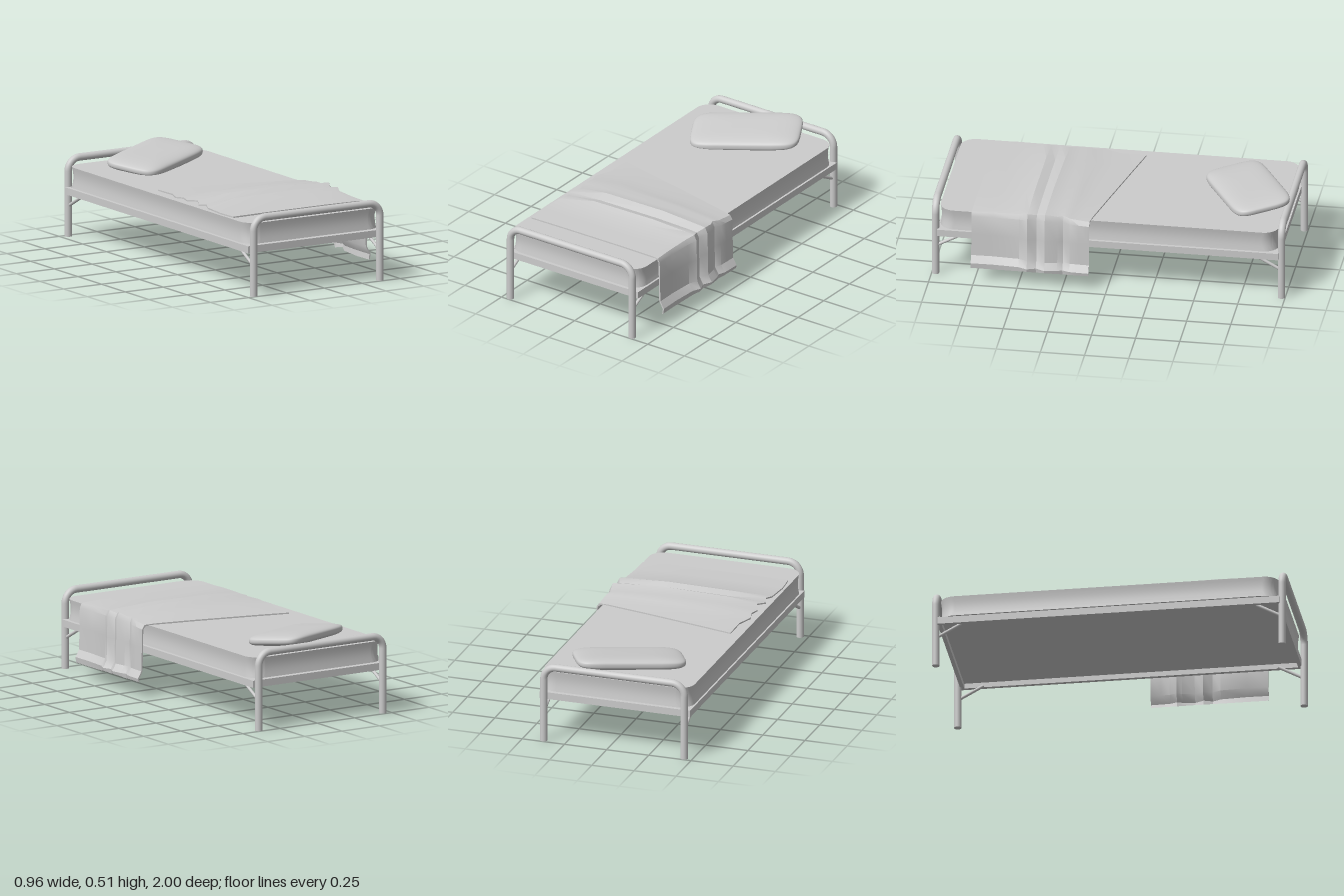
import * as THREE from 'three';
import { toCreasedNormals, mergeVertices } from 'three/addons/utils/BufferGeometryUtils.js';

const CX = -0.037; // middle of the bed; the blanket hangs out on the +x side
const mat = new THREE.MeshStandardMaterial({ color: 0xcccccc });
const matDouble = new THREE.MeshStandardMaterial({ color: 0xcccccc, side: THREE.DoubleSide });
const V = (x, y, z) => new THREE.Vector3(x, y, z);

function add(parent, name, geometry, material = mat) {
  const mesh = new THREE.Mesh(geometry, material);
  mesh.name = name;
  parent.add(mesh);
  return mesh;
}

// Bent tube hoop that forms two legs and the end rail
function endHoop(parent, name, z) {
  const group = new THREE.Group();
  group.name = name;
  const w = 0.416, top = 0.444, r = 0.072, tube = 0.021;
  const path = new THREE.CurvePath();
  const k = r * 0.45;
  path.add(new THREE.LineCurve3(V(-w, 0, 0), V(-w, top - r, 0)));
  path.add(new THREE.CubicBezierCurve3(V(-w, top - r, 0), V(-w, top - k, 0), V(-w + k, top, 0), V(-w + r, top, 0)));
  path.add(new THREE.LineCurve3(V(-w + r, top, 0), V(w - r, top, 0)));
  path.add(new THREE.CubicBezierCurve3(V(w - r, top, 0), V(w - k, top, 0), V(w, top - k, 0), V(w, top - r, 0)));
  path.add(new THREE.LineCurve3(V(w, top - r, 0), V(w, 0, 0)));
  add(group, 'hoop', new THREE.TubeGeometry(path, 120, tube, 20));
  for (const s of [-1, 1]) {
    const foot = add(group, 'footCap', new THREE.CircleGeometry(tube, 20).rotateX(Math.PI / 2));
    foot.position.x = s * w;
    // Diagonal strut from leg up to the side rail
    const dir = -Math.sign(z);
    const strut = new THREE.LineCurve3(V(s * w, 0.172, 0), V(s * w, 0.25, dir * 0.145));
    add(group, 'strut', new THREE.TubeGeometry(strut, 1, 0.009, 10));
  }
  group.position.set(CX, 0, z);
  parent.add(group);
}

// Rectangular frame of four rails around a thin base panel
function bedFrame(parent) {
  const group = new THREE.Group();
  group.name = 'bedFrame';
  const w = 0.446, l = 0.966, t = 0.022, h = 0.04;
  for (const s of [-1, 1]) {
    add(group, 'sideRail', new THREE.BoxGeometry(t, h, 2 * l)).position.x = s * (w - t / 2);
    add(group, 'crossRail', new THREE.BoxGeometry(2 * w - 2 * t, h, t)).position.z = s * (l - t / 2);
  }
  add(group, 'basePanel', new THREE.BoxGeometry(2 * w - 2 * t, 0.01, 2 * l - 2 * t)).position.y = 0.014;
  group.position.set(CX, 0.265, 0);
  parent.add(group);
}

// Mattress with rounded corners and slightly hollow sides
function mattress(parent) {
  const w = 0.442, l = 0.958, r = 0.085, h = 0.118;
  const shape = new THREE.Shape();
  shape.moveTo(-w + r, -l);
  shape.lineTo(w - r, -l).absarc(w - r, -l + r, r, -Math.PI / 2, 0);
  shape.lineTo(w, l - r).absarc(w - r, l - r, r, 0, Math.PI / 2);
  shape.lineTo(-w + r, l).absarc(-w + r, l - r, r, Math.PI / 2, Math.PI);
  shape.lineTo(-w, -l + r).absarc(-w + r, -l + r, r, Math.PI, Math.PI * 1.5);
  const geo = new THREE.ExtrudeGeometry(shape, { depth: h, steps: 8, bevelEnabled: false, curveSegments: 8 });
  geo.rotateX(-Math.PI / 2);
  const p = geo.attributes.position;
  for (let i = 0; i < p.count; i++) {
    const inset = 0.006 * Math.sin((Math.PI * p.getY(i)) / h);
    p.setX(i, p.getX(i) * (1 - inset / w));
    p.setZ(i, p.getZ(i) * (1 - inset / l));
  }
  add(parent, 'mattress', toCreasedNormals(geo, 0.7)).position.set(CX, 0.292, 0);
}

// Soft pillow, turned on the bed and leaning up on the head rail
function pillow(parent) {
  let geo = new THREE.SphereGeometry(1, 72, 32);
  geo.deleteAttribute('uv');
  geo.deleteAttribute('normal');
  geo = mergeVertices(geo, 1e-4);
  const pow = (v, e) => Math.sign(v) * Math.pow(Math.abs(v), e);
  const p = geo.attributes.position;
  for (let i = 0; i < p.count; i++) {
    const x = p.getX(i), y = p.getY(i), z = p.getZ(i);
    // Spread each ring into a rounded rectangle with a full, soft edge
    const ring = Math.hypot(x, z);
    const c = ring > 1e-4 ? x / ring : 0, s = ring > 1e-4 ? z / ring : 0;
    const grow = Math.pow(ring, 0.6);
    p.setXYZ(i, 0.31 * grow * pow(c, 0.28), 0.037 * pow(y, 0.65), 0.168 * grow * pow(s, 0.44));
  }
  geo.rotateY(0.49);
  geo.translate(-0.038, 0, -0.725);
  // Lean against the head rail and rest flat on the mattress
  for (let i = 0; i < p.count; i++) {
    p.setY(i, Math.max(0.411, p.getY(i) + 0.452 - (p.getZ(i) + 0.725) * 0.12));
  }
  geo.computeVertexNormals();
  add(parent, 'pillow', geo);
}

// Folded blanket: a thin closed section swept along the bed, draped over the side
function blanket(parent) {
  // z at left edge, z at hanging side, fold height, fold outward push, x of free edge
  const stations = [
    [-0.09, 0.1, 0.003, 0.028, -0.415],
    [0.06, 0.16, 0.01, 0.026, -0.415],
    [0.15, 0.21, 0.018, 0.024, -0.45],
    [0.21, 0.25, 0.03, 0.01, -0.435],
    [0.27, 0.28, 0.025, 0.022, -0.45],
    [0.34, 0.35, 0.043, 0.034, -0.42],
    [0.4, 0.4, 0.018, 0.01, -0.455],
    [0.45, 0.45, 0.034, 0.029, -0.435],
    [0.5, 0.5, 0.016, 0.008, -0.455],
    [0.65, 0.65, 0.008, 0, -0.465],
    [0.77, 0.77, 0.004, 0.002, -0.455],
  ];
  const t = 0.008;
  const sections = stations.map(([zl, zr, h, d, xl]) => {
    const hem = 0.078 + d * 0.5;
    const outer = [
      [xl, 0.416 + h * 0.35], [-0.25, 0.416 + h * 0.85], [0.15, 0.416 + h], [0.37, 0.415 + h * 0.7],
      [0.405 + d * 0.9, 0.411 + h * 0.7], [0.418 + d, 0.388 + h * 0.4], [0.42 + d, 0.28],
      [0.423 + d, 0.15], [0.447 + d, 0.11], [0.443 + d, hem],
    ];
    const inner = outer.map(([x, y], i) =>
      i < 4 ? [x, y - t] : i === 4 ? [x - t, y - t] : [x - t, i > 7 ? y - t * 0.5 : y]);
    return [...outer, ...inner.reverse()].map(([x, y]) => {
      const u = Math.min(1, (x - xl) / (0.42 - xl));
      return V(x, y, zl + (zr - zl) * u);
    });
  });
  const n = sections[0].length, verts = [], index = [];
  for (const s of sections) for (const v of s) verts.push(v.x, v.y, v.z);
  for (let i = 0; i < sections.length - 1; i++) {
    for (let j = 0; j < n; j++) {
      const a = i * n + j, b = i * n + ((j + 1) % n);
      index.push(a, a + n, b, b, a + n, b + n);
    }
  }
  // Close both ends of the sweep
  const last = (sections.length - 1) * n;
  for (let j = 0; j < n / 2 - 1; j++) {
    const k = n - 1 - j;
    index.push(j, j + 1, k, j + 1, k - 1, k);
    index.push(last + j, last + k, last + j + 1, last + j + 1, last + k, last + k - 1);
  }
  const geo = new THREE.BufferGeometry();
  geo.setAttribute('position', new THREE.Float32BufferAttribute(verts, 3));
  geo.setIndex(index);
  add(parent, 'blanket', toCreasedNormals(geo, 0.5), matDouble);
}

export function createModel() {
  const bed = new THREE.Group();
  bed.name = 'bed';
  endHoop(bed, 'headEnd', -0.979);
  endHoop(bed, 'footEnd', 0.979);
  bedFrame(bed);
  mattress(bed);
  pillow(bed);
  blanket(bed);
  return bed;
}
